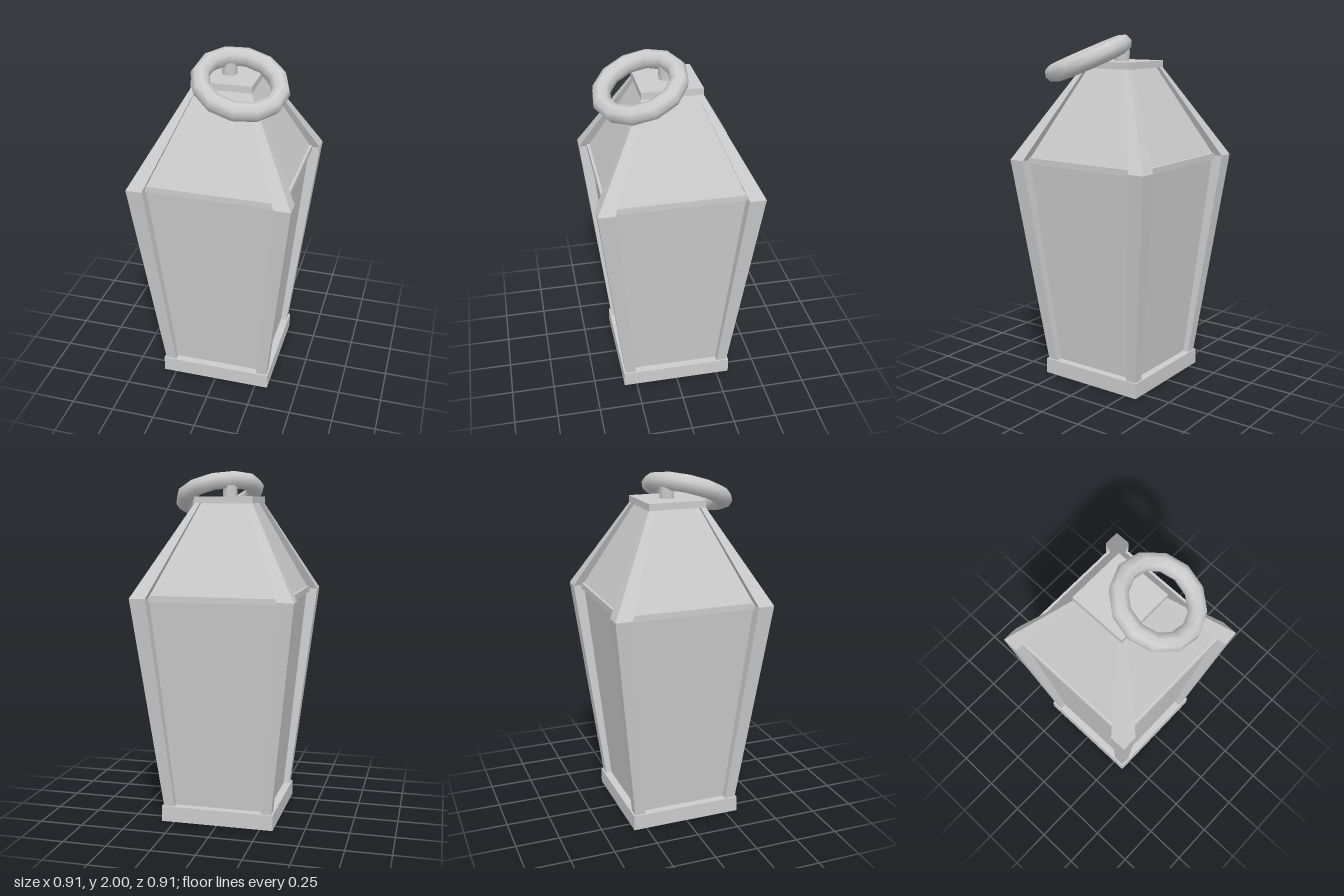
import * as THREE from 'three';

const material = new THREE.MeshStandardMaterial({ color: 0xcccccc });
const flatMaterial = new THREE.MeshStandardMaterial({ color: 0xcccccc, flatShading: true });

// Square loft: each section [y, a, b] is a square spanning a..b in both x and z.
function squareLoft(sections) {
  const rings = sections.map(([y, a, b]) => [[b, y, b], [b, y, a], [a, y, a], [a, y, b]]);
  const positions = [];
  const quad = (p, q, r, s) => positions.push(...p, ...q, ...r, ...p, ...r, ...s);
  for (let k = 0; k < rings.length - 1; k++) {
    const low = rings[k], high = rings[k + 1];
    for (let i = 0; i < 4; i++) {
      const j = (i + 1) % 4;
      quad(low[i], low[j], high[j], high[i]);
    }
  }
  const bottom = rings[0], top = rings[rings.length - 1];
  quad(bottom[3], bottom[2], bottom[1], bottom[0]);
  quad(top[0], top[1], top[2], top[3]);
  const geometry = new THREE.BufferGeometry();
  geometry.setAttribute('position', new THREE.Float32BufferAttribute(positions, 3));
  geometry.computeVertexNormals();
  return geometry;
}

export function createModel() {
  const lantern = new THREE.Group();
  lantern.name = 'lantern';

  function add(name, geometry, mat = flatMaterial) {
    const mesh = new THREE.Mesh(geometry, mat);
    mesh.name = name;
    lantern.add(mesh);
    return mesh;
  }

  // Square slabs: base, rail under the roof, cap
  function slab(name, y0, y1, half) {
    add(name, new THREE.BoxGeometry(2 * half, y1 - y0, 2 * half)).position.y = (y0 + y1) / 2;
  }
  slab('base', 0, 0.09, 0.325);
  slab('eavesRail', 1.282, 1.317, 0.408);
  slab('cap', 1.815, 1.853, 0.167);

  // Recessed panes and roof panels
  add('panes', squareLoft([[0.09, -0.28, 0.28], [1.282, -0.39, 0.39]]));
  add('roofPanels', squareLoft([[1.317, -0.393, 0.393], [1.815, -0.142, 0.142]]));

  // Four bent corner posts
  const postGeometry = squareLoft([[0.09, 0.253, 0.315], [1.303, 0.362, 0.455], [1.815, 0.134, 0.165]]);
  for (let i = 0; i < 4; i++) {
    add('cornerPost', postGeometry).rotation.y = i * Math.PI / 2;
  }

  // Peg and tilted carrying ring
  add('ringPeg', new THREE.CylinderGeometry(0.043, 0.043, 0.07, 8), material).position.y = 1.883;
  const ringGeometry = new THREE.TorusGeometry(0.215, 0.051, 8, 12);
  ringGeometry.rotateX(-Math.PI / 2);
  ringGeometry.rotateZ(-0.4);
  ringGeometry.rotateY(-0.92);
  add('carryingRing', ringGeometry, material).position.set(0.104, 1.865, 0.162);

  return lantern;
}
